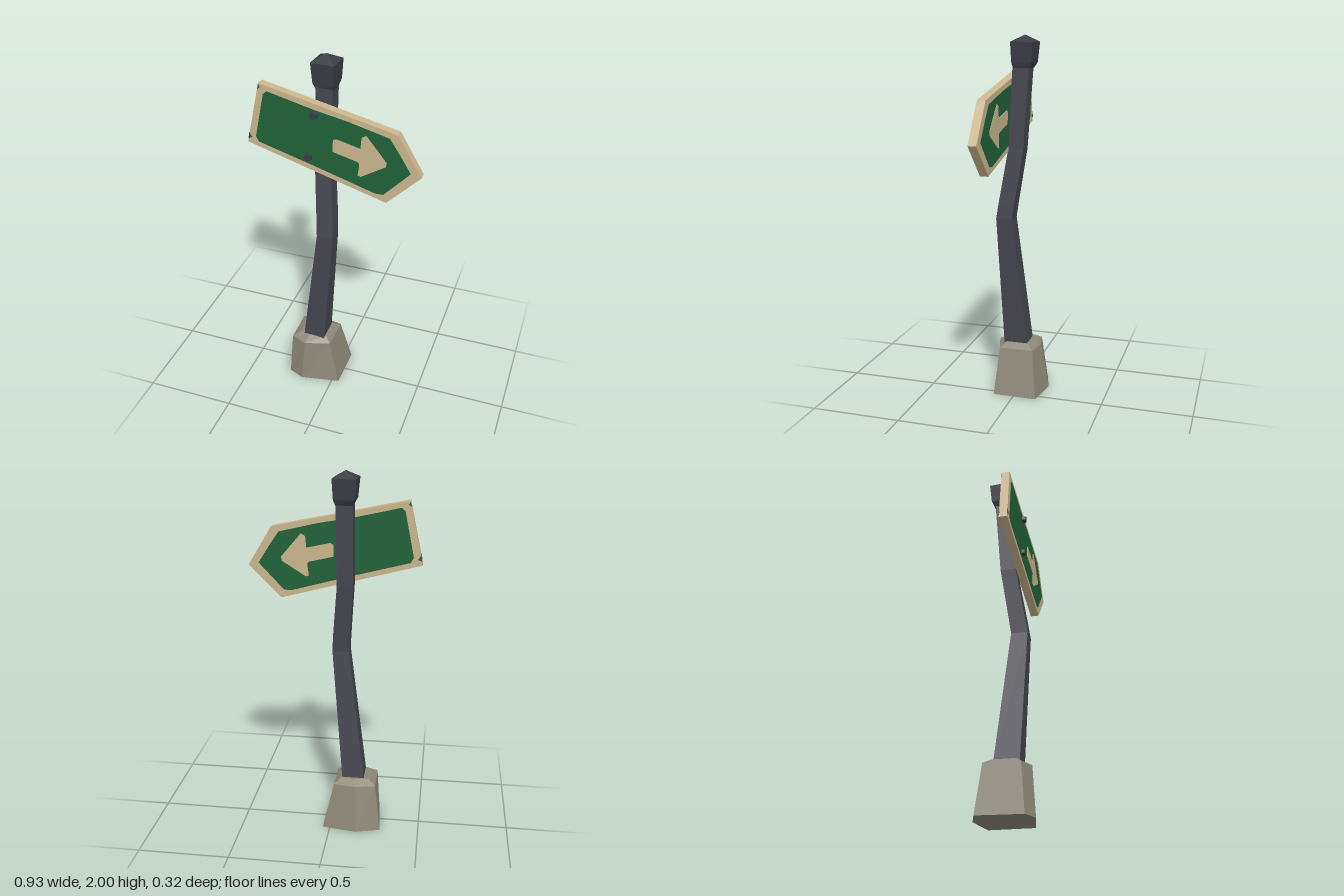
import * as THREE from 'three';

const mat = (name, color, extra = {}) => Object.assign(new THREE.MeshStandardMaterial({ color, ...extra }), { name });

// Flat-faced solid through rings of [x, y, z] points, listed counterclockwise from above
function loft(rings) {
  const out = [];
  const n = rings[0].length;
  const tri = (a, b, c) => out.push(...a, ...b, ...c);
  for (let i = 0; i < rings.length - 1; i++) {
    for (let j = 0; j < n; j++) {
      const k = (j + 1) % n;
      const [a, b, c, d] = [rings[i][j], rings[i][k], rings[i + 1][k], rings[i + 1][j]];
      tri(a, b, c);
      tri(a, c, d);
    }
  }
  const bottom = rings[0], top = rings[rings.length - 1];
  for (let j = 1; j < n - 1; j++) {
    tri(bottom[0], bottom[j + 1], bottom[j]);
    tri(top[0], top[j], top[j + 1]);
  }
  const g = new THREE.BufferGeometry();
  g.setAttribute('position', new THREE.Float32BufferAttribute(out, 3));
  g.computeVertexNormals();
  return g;
}

// Four-sided ring, with a slight skew so that it looks hand cut
const square = ([y, x0, x1, z0, z1, skew = 0]) => [
  [x0, y, z1 - skew], [x1 - skew, y, z1], [x1, y, z0 + skew], [x0 + skew, y, z0],
];

// Upright plate from an outline, leaning along with the sign board
function plate(points, z, depth) {
  const shape = new THREE.Shape(points.map(([x, y]) => new THREE.Vector2(x, y)));
  const g = new THREE.ExtrudeGeometry(shape, { depth, bevelEnabled: false });
  const p = g.attributes.position;
  for (let i = 0; i < p.count; i++) {
    p.setZ(i, p.getZ(i) + z + 0.022 * p.getX(i) - 0.015 * (p.getY(i) - 1.57));
  }
  g.computeVertexNormals();
  return g;
}

export function createModel() {
  const group = new THREE.Group();
  const metal = mat('dark metal', 0x464650, { flatShading: true });
  const darkMetal = mat('cap metal', 0x3b3b45, { flatShading: true });
  const stone = mat('stone', 0x8d8778, { flatShading: true });
  const cream = mat('cream paint', 0xcbb78e);
  const green = mat('green paint', 0x1f6239);
  const add = (name, geometry, material) => {
    const m = new THREE.Mesh(geometry, material);
    m.name = name;
    group.add(m);
    return m;
  };

  // Stone foot: uneven hexagon tapering to a chamfered top
  const foot = [[-0.265, 0.12], [-0.18, 0.157], [0.04, 0.115], [0.04, -0.13], [-0.15, -0.16], [-0.285, -0.12]];
  const shoulder = [[-0.25, 0.1], [-0.16, 0.138], [-0.02, 0.095], [-0.02, -0.095], [-0.14, -0.115], [-0.252, -0.09]];
  const crown = [[-0.21, 0.07], [-0.15, 0.085], [-0.055, 0.065], [-0.055, -0.06], [-0.13, -0.07], [-0.21, -0.055]];
  const ringAt = (pts, y) => pts.map(([x, z]) => [x, y, z]);
  add('stoneBase', loft([ringAt(foot, 0), ringAt(shoulder, 0.262), ringAt(crown, 0.288)]), stone);

  // Bent, tapering post: y, x range, z range
  add('post', loft([
    [0.26, -0.187, -0.064, -0.055, 0.08],
    [1.02, -0.086, 0.004, 0.016, 0.106],
    [1.1, -0.091, 0, 0.005, 0.094],
    [1.4, -0.112, -0.026, -0.038, 0.046],
    [1.88, -0.112, -0.022, -0.073, 0.018],
  ].map(square)), metal);

  // Cap with a low pyramid top
  add('postCap', loft([
    [1.83, -0.112, -0.022, -0.073, 0.018],
    [1.86, -0.128, -0.012, -0.09, 0.026, 0.005],
    [1.965, -0.138, -0.006, -0.1, 0.031, 0.008],
    [2, -0.074, -0.07, -0.036, -0.032],
  ].map(square)), darkMetal);

  // Arrow-shaped sign board
  add('signBoard', plate([
    [-0.394, 1.845], [0.336, 1.69], [0.463, 1.48], [0.288, 1.303], [-0.468, 1.51],
  ], 0.043, 0.045), cream);

  // Painted field, arrow and worn corner chips on both faces
  const field = [
    [-0.35, 1.808], [-0.1, 1.75], [0.08, 1.717], [0.295, 1.665], [0.35, 1.585], [0.408, 1.493],
    [0.272, 1.348], [0.23, 1.347], [-0.1, 1.44], [-0.405, 1.522], [-0.42, 1.55], [-0.37, 1.79],
  ];
  const arrow = [
    [0.002, 1.605], [0.02, 1.613], [0.147, 1.583], [0.152, 1.645], [0.175, 1.66], [0.285, 1.53],
    [0.28, 1.508], [0.15, 1.427], [0.135, 1.433], [0.143, 1.497], [0.135, 1.508], [0.002, 1.54],
  ];
  const chips = [
    [[-0.395, 1.84], [-0.385, 1.825], [-0.4, 1.812]],
    [[-0.458, 1.565], [-0.442, 1.54], [-0.464, 1.53]],
  ];
  for (const [side, z] of [['front', 0.088], ['back', 0.043]]) {
    add(side + 'GreenField', plate(field, z - 0.002, 0.004), green);
    add(side + 'Arrow', plate(arrow, z - 0.004, 0.008), cream);
    for (const chip of chips) add(side + 'PaintChip', plate(chip, z - 0.002, 0.004), green);
  }

  // Bolts holding the board to the post
  for (const [x, y] of [[-0.098, 1.724], [-0.13, 1.486]]) {
    const bolt = add('bolt', new THREE.CylinderGeometry(0.02, 0.025, 0.04, 6), darkMetal);
    bolt.rotation.x = Math.PI / 2;
    bolt.position.set(x, y, 0.086);
  }
  return group;
}
